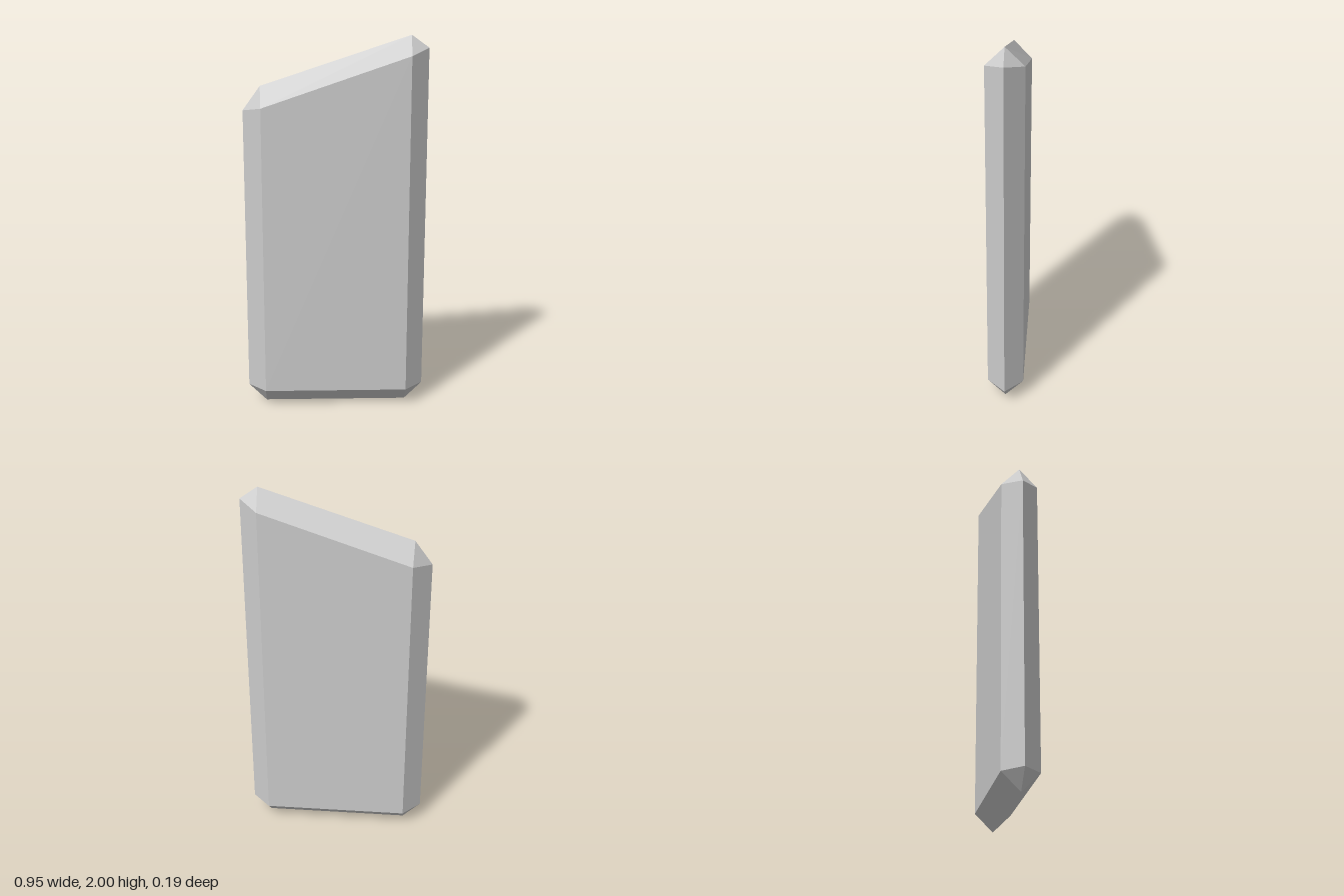
import * as THREE from 'three';

export function createModel() {
  const depth = 0.095;
  // Widest outline, in the middle plane, counter-clockwise from the bottom left
  const rim = [
    [-0.38, 0], [0.38, 0], [0.475, 0.095], [0.475, 1.935],
    [0.385, 2], [-0.385, 1.745], [-0.475, 1.62], [-0.475, 0.095],
  ];
  // Flat face outline, same order
  const face = [[-0.38, 0.095], [0.38, 0.095], [0.38, 1.905], [-0.38, 1.645]];

  const positions = [];
  const addHalf = (side) => {
    const r = (i) => [...rim[i % 8], 0];
    const f = (i) => [...face[i % 4], depth * side];
    const tri = (a, b, c) => positions.push(...(side > 0 ? [a, b, c] : [a, c, b]).flat());
    const quad = (a, b, c, d) => { tri(a, b, c); tri(a, c, d); };
    quad(f(0), f(1), f(2), f(3));
    for (let i = 0; i < 4; i++) {
      quad(r(2 * i), r(2 * i + 1), f(i + 1), f(i)); // edge bevel
      tri(r(2 * i + 1), r(2 * i + 2), f(i + 1)); // corner facet
    }
  };
  addHalf(1);
  addHalf(-1);

  const geometry = new THREE.BufferGeometry();
  geometry.setAttribute('position', new THREE.Float32BufferAttribute(positions, 3));
  geometry.computeVertexNormals();

  const slab = new THREE.Mesh(
    geometry,
    new THREE.MeshStandardMaterial({ color: 0xcccccc, flatShading: true }),
  );
  slab.name = 'bevelledSlab';

  const group = new THREE.Group();
  group.name = 'slantedSlab';
  group.add(slab);
  return group;
}
